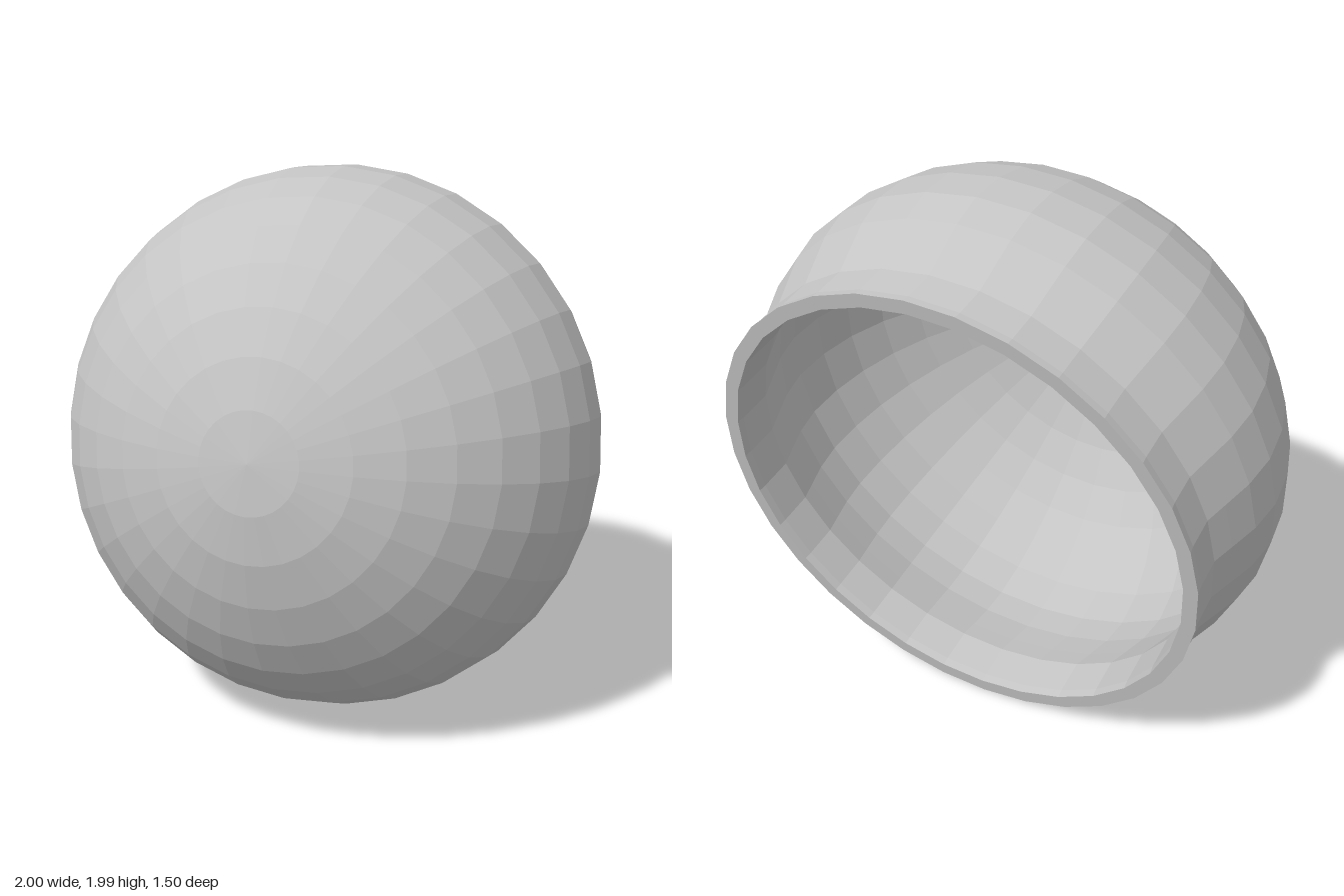
import * as THREE from 'three';

const SEGMENTS = 32;
const CENTRE = 0.47; // distance from the rim to the widest ring

// Points on the domed part, from the widest ring to the pole
function dome(radius, depth) {
  const points = [];
  for (let i = 0; i <= 9; i++) {
    const a = (i * Math.PI) / 18;
    points.push(new THREE.Vector2(i === 9 ? 0 : radius * Math.cos(a), CENTRE + depth * Math.sin(a)));
  }
  return points;
}

const neck = (pairs) => pairs.map(([r, t]) => new THREE.Vector2(r, t));

export function createModel() {
  const group = new THREE.Group();
  const grey = new THREE.MeshStandardMaterial({ color: 0xc4c4c4, flatShading: true });
  grey.name = 'plain grey';

  // Flared lip and pinched neck, then the dome
  const outer = [
    ...neck([[0.922, 0], [0.917, 0.03], [0.914, 0.15], [0.942, 0.23], [0.98, 0.34]]),
    ...dome(1.0, 0.86),
  ];
  // Inner wall, about 0.05 inside the outer one
  const inner = [
    ...neck([[0.87, 0], [0.866, 0.03], [0.863, 0.16], [0.892, 0.24], [0.93, 0.35]]),
    ...dome(0.95, 0.81),
  ];

  // Inner pole to rim, across the rim face, then up to the outer pole
  const profile = [...inner.reverse(), ...outer];
  const shell = new THREE.Mesh(new THREE.LatheGeometry(profile, SEGMENTS), grey);
  shell.name = 'bowlShell';

  // Lean the bowl so the pole faces forward and a little up
  const axis = new THREE.Vector3(0.026, 0.187, 0.982).normalize();
  shell.quaternion.setFromUnitVectors(new THREE.Vector3(0, 1, 0), axis);
  shell.position.set(-0.012, 0.915, -0.573);

  group.add(shell);
  return group;
}
